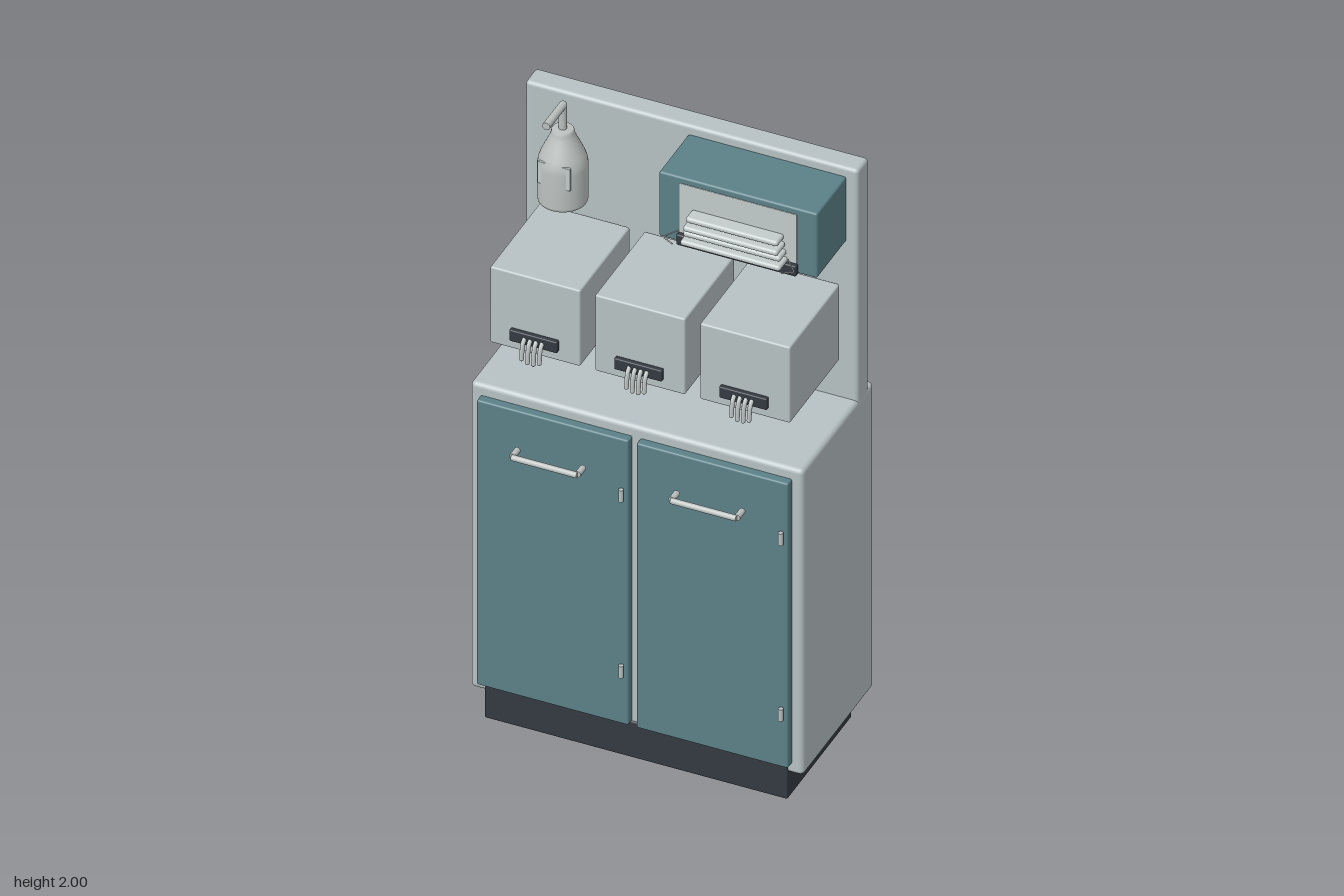
import * as THREE from 'three';
import { RoundedBoxGeometry } from 'three/addons/geometries/RoundedBoxGeometry.js';

const material = (name, color, side = THREE.FrontSide) => {
  const m = new THREE.MeshStandardMaterial({ color, side });
  m.name = name;
  return m;
};

export function createModel() {
  const root = new THREE.Group();
  root.name = 'washStation';
  const grey = material('palePanel', 0xb7c1c3);
  const teal = material('teal', 0x5b8188);
  const dark = material('charcoal', 0x343a41);
  const metal = material('metal', 0xbcc1c0);
  const paper = material('paper', 0xc3cbcb);

  const add = (name, geometry, mat, parent = root) => {
    const mesh = new THREE.Mesh(geometry, mat);
    mesh.name = name;
    parent.add(mesh);
    return mesh;
  };
  // Rounded box given by its limits on each axis
  const box = (name, mat, [x0, x1], [y0, y1], [z0, z1], r = 0.005, parent = root) => {
    const g = new RoundedBoxGeometry(x1 - x0, y1 - y0, z1 - z0, 3, r);
    g.translate((x0 + x1) / 2, (y0 + y1) / 2, (z0 + z1) / 2);
    return add(name, g, mat, parent);
  };
  // Straight capped rod between two points
  const rod = (name, mat, a, b, r, parent = root, sides = 14) => {
    const p = new THREE.Vector3(...a), q = new THREE.Vector3(...b);
    const d = q.clone().sub(p);
    const mesh = add(name, new THREE.CylinderGeometry(r, r, d.length(), sides), mat, parent);
    mesh.position.copy(p).add(q).multiplyScalar(0.5);
    mesh.quaternion.setFromUnitVectors(new THREE.Vector3(0, 1, 0), d.normalize());
    return mesh;
  };

  // Carcass
  box('plinth', dark, [-0.465, 0.462], [0, 0.125], [-0.235, 0.194], 0.006);
  box('cabinet', grey, [-0.51, 0.508], [0.09, 1.14], [-0.282, 0.19], 0.015);
  box('backPanel', grey, [-0.51, 0.508], [1.12, 1.932], [-0.248, -0.175], 0.012);

  // Doors with bar handle and two hinge barrels each
  for (const [side, x0, x1, hx, pinX] of [
    ['right', -0.478, -0.014, -0.246, -0.031],
    ['left', 0.01, 0.474, 0.241, 0.457]]) {
    const door = new THREE.Group();
    door.name = side + 'Door';
    root.add(door);
    box('doorPanel', teal, [x0, x1], [0.125, 1.104], [0.186, 0.217], 0.006, door);
    rod('handleBar', metal, [hx - 0.1, 0.982, 0.27], [hx + 0.1, 0.982, 0.27], 0.009, door);
    for (const s of [-1, 1])
      rod('handlePost', metal, [hx + s * 0.1, 0.982, 0.231], [hx + s * 0.1, 0.982, 0.266], 0.0095, door);
    for (const y of [0.315, 0.92])
      rod('hinge', metal, [pinX, y - 0.02, 0.228], [pinX, y + 0.02, 0.228], 0.0075, door);
  }

  // Three glove boxes, each with a slot and hanging fingers
  for (const x of [-0.3225, -0.002, 0.319]) {
    const gloves = new THREE.Group();
    gloves.name = 'gloveBox';
    root.add(gloves);
    box('carton', grey, [x - 0.138, x + 0.138], [1.274, 1.535], [-0.166, 0.166], 0.006, gloves);
    box('slot', dark, [x - 0.073, x + 0.073], [1.308, 1.346], [0.162, 0.18], 0.004, gloves);
    for (let i = 0; i < 4; i++) {
      const fx = x + (i - 1.5) * 0.018;
      const end = i === 0 || i === 3 ? 1.272 : 1.264;
      const curve = new THREE.CatmullRomCurve3([
        new THREE.Vector3(fx, 1.328, 0.176),
        new THREE.Vector3(fx, 1.318, 0.188),
        new THREE.Vector3(fx, end, 0.197)]);
      add('gloveFinger', new THREE.TubeGeometry(curve, 8, 0.007, 8), metal, gloves);
      const tip = add('fingerTip', new THREE.SphereGeometry(0.007, 8, 6), metal, gloves);
      tip.position.set(fx, end, 0.197);
    }
  }

  // Towel dispenser
  const towel = new THREE.Group();
  towel.name = 'towelDispenser';
  root.add(towel);
  box('dispenserCase', teal, [-0.011, 0.473], [1.68, 1.902], [-0.178, 0.02], 0.007, towel);
  box('window', paper, [0.052, 0.411], [1.712, 1.882], [0.016, 0.0215], 0.001, towel);
  box('tray', dark, [0.048, 0.415], [1.678, 1.714], [0.012, 0.036], 0.005, towel);
  for (let i = 0; i < 4; i++) {
    const y = 1.722 + i * 0.025, half = 0.153 - i * 0.004;
    box('foldedTowel', paper, [0.232 - half, 0.232 + half], [y - 0.009, y + 0.009],
      [0.02, i % 2 ? 0.068 : 0.078], 0.008, towel);
  }
  // Small guide hooks beside the towels
  for (const s of [-1, 1]) {
    const p = [[0.167, 1.745, 0.052], [0.201, 1.735, 0.086], [0.166, 1.728, 0.098]]
      .map(([x, y, z]) => [0.232 + s * x, y, z]);
    rod('guideHook', metal, p[0], p[1], 0.0022, towel, 6);
    rod('guideHook', metal, p[1], p[2], 0.0022, towel, 6);
  }

  // Pump bottle
  const bottle = new THREE.Group();
  bottle.name = 'pumpBottle';
  bottle.position.set(-0.335, 0, -0.047);
  root.add(bottle);
  const profile = [[0, 1.665], [0.064, 1.665], [0.07, 1.669], [0.072, 1.678], [0.072, 1.79],
    [0.069, 1.81], [0.062, 1.83], [0.046, 1.865], [0.036, 1.887], [0.033, 1.898],
    [0.032, 1.906], [0.028, 1.91], [0, 1.91]].map(([r, y]) => new THREE.Vector2(r, y));
  add('bottleBody', new THREE.LatheGeometry(profile, 36), metal, bottle);
  box('label', paper, [-0.05, 0.05], [1.745, 1.82], [0.052, 0.061], 0.002, bottle);
  rod('pumpStem', metal, [0, 1.9, 0], [0, 1.988, 0], 0.012, bottle);
  rod('spout', metal, [0, 1.988, 0], [0, 1.988, 0.112], 0.012, bottle);
  const elbow = add('elbow', new THREE.SphereGeometry(0.012, 14, 10), metal, bottle);
  elbow.position.set(0, 1.988, 0);

  return root;
}
